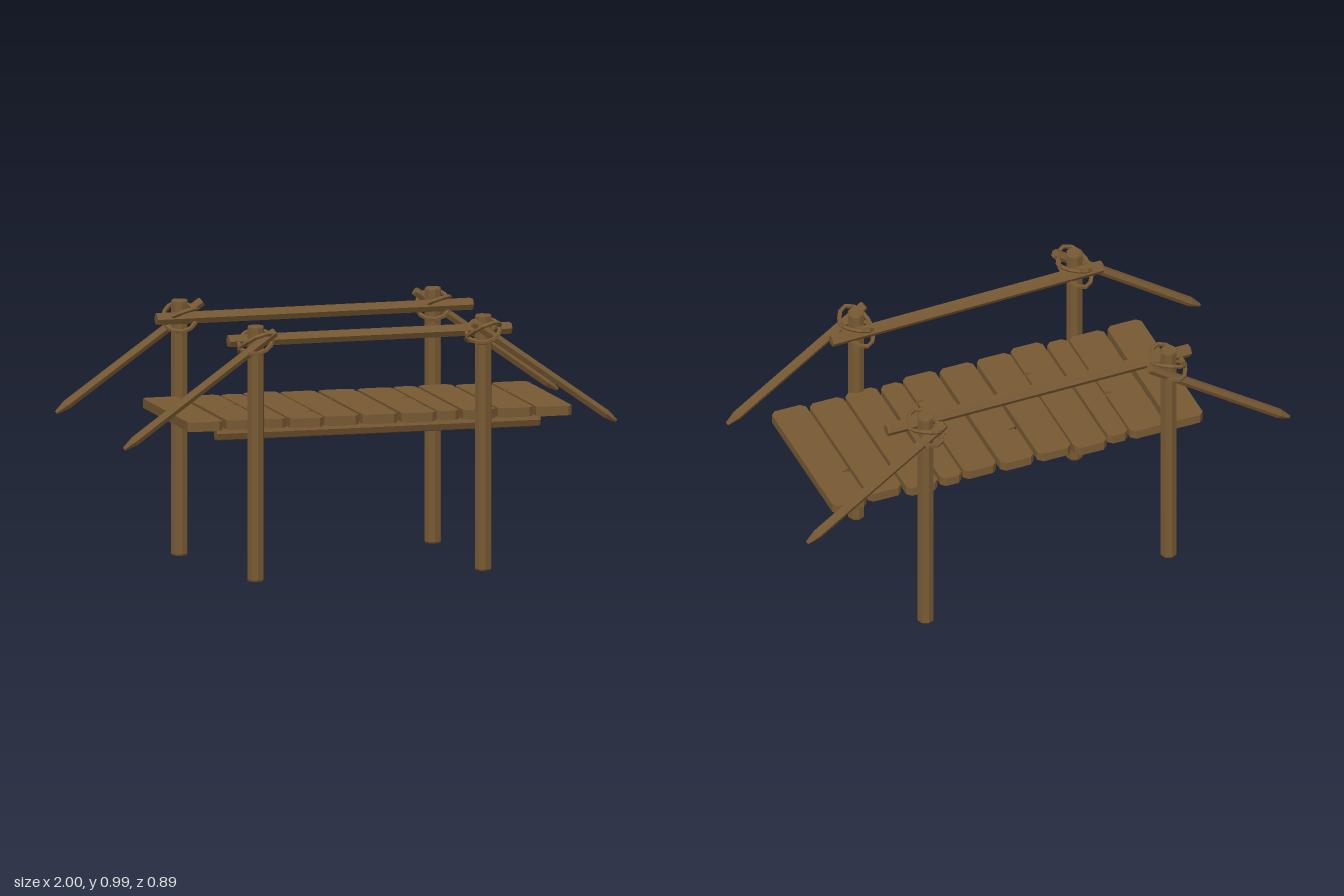
import * as THREE from 'three';

const wood = new THREE.MeshStandardMaterial({ color: 0x775933 });
wood.name = 'weathered wood';

const V = (x, y, z) => new THREE.Vector3(x, y, z);

// Facet a geometry so every face is flat shaded
function faceted(geometry) {
  const g = geometry.index ? geometry.toNonIndexed() : geometry;
  g.computeVertexNormals();
  return g;
}

function addPart(parent, name, geometry) {
  const mesh = new THREE.Mesh(faceted(geometry), wood);
  mesh.name = name;
  parent.add(mesh);
  return mesh;
}

// Faceted log running from a to b, optionally sharpened at the a end
function addLog(parent, name, a, b, radius, sides, tip = 0) {
  const dir = b.clone().sub(a);
  const length = dir.length();
  const profile = [[0, 0], [tip ? radius * 0.4 : radius * 0.9, 0], [radius, tip || 0.006],
    [radius, length - 0.006], [radius * 0.9, length], [0, length]];
  const points = profile.map(([r, y]) => new THREE.Vector2(r, y));
  const mesh = addPart(parent, name, new THREE.LatheGeometry(points, sides));
  mesh.position.copy(a);
  mesh.quaternion.setFromUnitVectors(V(0, 1, 0), dir.normalize());
  return mesh;
}

// Plank with clipped corners; a notch is [side, z] for a split in one edge
function addPlank(parent, x0, x1, z0, z1, notches) {
  const c = 0.018;
  const outline = [[x0 + c, z0], [x1 - c, z0], [x1, z0 + c]];
  const addNotches = (side, edge) => {
    const list = notches.filter((n) => n[0] === side).sort((p, q) => side * (p[1] - q[1]));
    for (const [, z] of list) {
      outline.push([edge, z - side * 0.01], [edge - side * 0.035, z], [edge, z + side * 0.01]);
    }
  };
  addNotches(1, x1);
  outline.push([x1, z1 - c], [x1 - c, z1], [x0 + c, z1], [x0, z1 - c]);
  addNotches(-1, x0);
  outline.push([x0, z0 + c]);
  const shape = new THREE.Shape(outline.map(([x, z]) => new THREE.Vector2(x, -z)));
  const geometry = new THREE.ExtrudeGeometry(shape, { depth: 0.036, bevelEnabled: false });
  geometry.rotateX(-Math.PI / 2);
  geometry.translate(0, 0.579, 0);
  addPart(parent, 'plank', geometry);
}

// Two crossing rope loops that tie the rails to a post
function addLashing(parent, x, z) {
  const out = Math.sign(z);
  for (const [tilt, phase, lift] of [[0.045, 0.4, 0], [0.035, 2.6, 0.005]]) {
    const points = [];
    for (let i = 0; i < 10; i++) {
      const a = (i / 10) * Math.PI * 2;
      points.push(V(
        x + Math.cos(a) * 0.062,
        0.917 + lift + Math.sin(a + phase) * tilt,
        z + out * (Math.sin(a) * 0.082 - 0.003)
      ));
    }
    const curve = new THREE.CatmullRomCurve3(points, true);
    addPart(parent, 'ropeLoop', new THREE.TubeGeometry(curve, 14, 0.009, 5, true));
  }
}

export function createModel() {
  const bridge = new THREE.Group();
  bridge.name = 'woodenFootbridge';

  // Posts with their lashings
  const posts = [[-0.525, -0.336], [0.487, -0.358], [-0.425, 0.361], [0.485, 0.338]];
  for (const [x, z] of posts) {
    addLog(bridge, 'post', V(x, 0, z), V(x, 0.985, z), 0.033, 8);
    addLashing(bridge, x, z);
  }

  // Long handrails
  addLog(bridge, 'backRail', V(-0.63, 0.92, -0.292), V(0.63, 0.922, -0.31), 0.025, 6);
  addLog(bridge, 'frontRail', V(-0.52, 0.922, 0.312), V(0.61, 0.92, 0.284), 0.025, 6);

  // Sharpened rails sloping down at both ends
  const slopes = [
    [-0.998, 0.56, -0.42, 0.965, -0.392],
    [-0.96, 0.538, -0.36, 0.965, 0.406],
    [0.997, 0.56, 0.43, 0.965, -0.412],
    [0.997, 0.56, 0.43, 0.965, 0.387],
  ];
  for (const [x0, y0, x1, y1, z] of slopes) {
    addLog(bridge, 'slopingRail', V(x0, y0, z), V(x1, y1, z), 0.019, 6, 0.05);
  }

  // Beams under the deck
  for (const z of [0.173, -0.134]) {
    const beam = addLog(bridge, 'deckBeam', V(-0.53, 0.546, z), V(0.755, 0.546, z), 0.03, 7);
    beam.scale.z = 0.85;
  }

  // Deck planks: x range, z range, splits
  const planks = [
    [-0.68, -0.54, -0.318, 0.325, []],
    [-0.522, -0.38, -0.318, 0.318, [[1, -0.055]]],
    [-0.372, -0.288, -0.312, 0.32, []],
    [-0.277, -0.145, -0.333, 0.338, [[1, 0.17]]],
    [-0.137, 0.0, -0.312, 0.325, []],
    [0.015, 0.153, -0.312, 0.325, [[-1, -0.12]]],
    [0.168, 0.303, -0.305, 0.33, [[1, -0.055], [1, 0.17]]],
    [0.313, 0.4, -0.312, 0.315, []],
    [0.414, 0.543, -0.318, 0.322, []],
    [0.555, 0.693, -0.295, 0.315, []],
    [0.704, 0.845, -0.312, 0.325, [[-1, -0.12]]],
  ];
  const deck = new THREE.Group();
  deck.name = 'deck';
  for (const p of planks) addPlank(deck, ...p);
  bridge.add(deck);

  return bridge;
}
